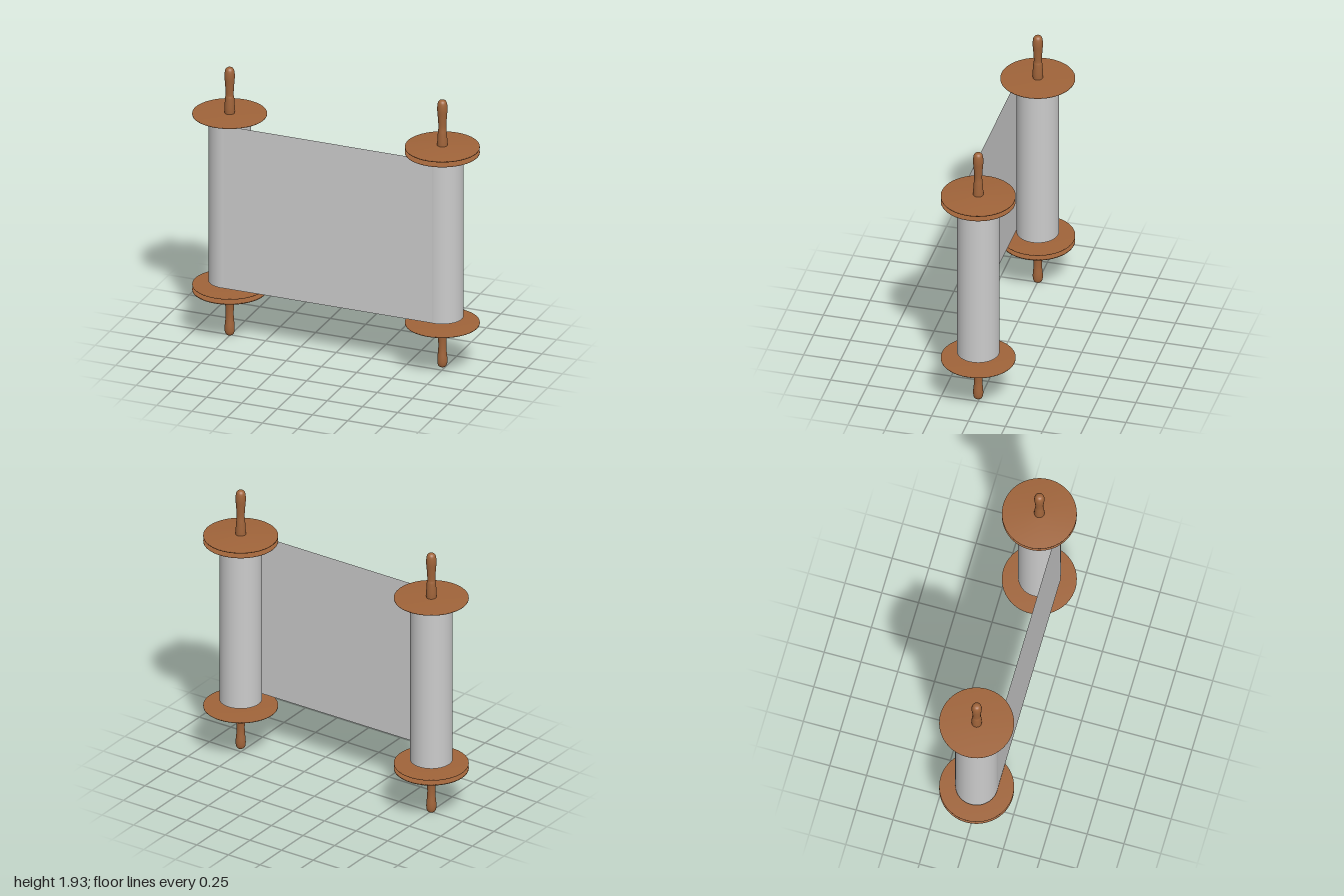
import * as THREE from 'three';

const wood = new THREE.MeshStandardMaterial({ color: 0xa0643a, side: THREE.DoubleSide });
const paper = new THREE.MeshStandardMaterial({ color: 0xcccccc, side: THREE.DoubleSide });

const BOTTOM = 0.39, TOP = 1.55, ROLL_R = 0.14, DISC_R = 0.245;

function add(parent, name, geometry, material) {
  const mesh = new THREE.Mesh(geometry, material);
  mesh.name = name;
  parent.add(mesh);
  return mesh;
}

// Turned rod: smooth curve through [radius, height] points
function rodGeometry(points) {
  const curve = new THREE.SplineCurve(points.map(([r, y]) => new THREE.Vector2(r, y)));
  const profile = curve.getPoints(60).map(p => new THREE.Vector2(Math.max(p.x, 0), p.y));
  return new THREE.LatheGeometry(profile, 32);
}

// Thin disc with a rim from y0 to y1; its faces bulge to lowY and highY at the centre
function discGeometry(lowY, y0, y1, highY) {
  const profile = [[0, lowY], [0.05, lowY], [DISC_R, y0], [DISC_R, y1], [0.05, highY], [0, highY]];
  return new THREE.LatheGeometry(profile.map(([r, y]) => new THREE.Vector2(r, y)), 64);
}

// One roller: rod with two handles, rolled paper and its end discs
function roller(name, x, base, tip, discs) {
  const group = new THREE.Group();
  group.name = name;
  group.position.x = x;

  add(group, 'lowerHandle', rodGeometry([
    [0, base], [0.02, base + 0.004], [0.031, base + 0.022], [0.033, base + 0.06],
    [0.027, base + 0.13], [0.028, base + 0.2], [0.036, base + 0.27], [0.042, 0.335],
  ]), wood);
  add(group, 'upperHandle', rodGeometry([
    [0.032, 1.57], [0.034, 1.62], [0.03, 1.69], [0.026, tip - 0.19],
    [0.03, tip - 0.12], [0.034, tip - 0.065], [0.03, tip - 0.022], [0.018, tip - 0.004], [0, tip],
  ]), wood);
  const core = add(group, 'core', new THREE.CylinderGeometry(0.033, 0.033, 1.25, 32), wood);
  core.position.y = 0.955;

  discs.forEach(([part, ...levels]) => add(group, part, discGeometry(...levels), wood));

  const roll = add(group, 'paperRoll', new THREE.CylinderGeometry(ROLL_R, ROLL_R, TOP - BOTTOM, 64), paper);
  roll.position.y = (TOP + BOTTOM) / 2;
  return group;
}

export function createModel() {
  const model = new THREE.Group();
  model.name = 'scroll';

  model.add(roller('rightRoller', -0.755, 0, 1.909, [
    ['upperDisc', 1.57, 1.575, 1.582, 1.585],
    ['lowerInnerDisc', 0.357, 0.357, 0.363, 0.363],
    ['lowerOuterDisc', 0.31, 0.321, 0.331, 0.331],
  ]));
  model.add(roller('leftRoller', 0.753, 0.026, 1.93, [
    ['upperInnerDisc', 1.555, 1.555, 1.561, 1.561],
    ['upperOuterDisc', 1.59, 1.59, 1.599, 1.608],
    ['lowerDisc', 0.335, 0.337, 0.345, 0.345],
  ]));

  // Unrolled paper, tangent to the front of both rolls
  const sheet = add(model, 'paperSheet', new THREE.PlaneGeometry(1.49, TOP - BOTTOM), paper);
  sheet.position.set(0, (TOP + BOTTOM) / 2, 0.139);
  return model;
}
